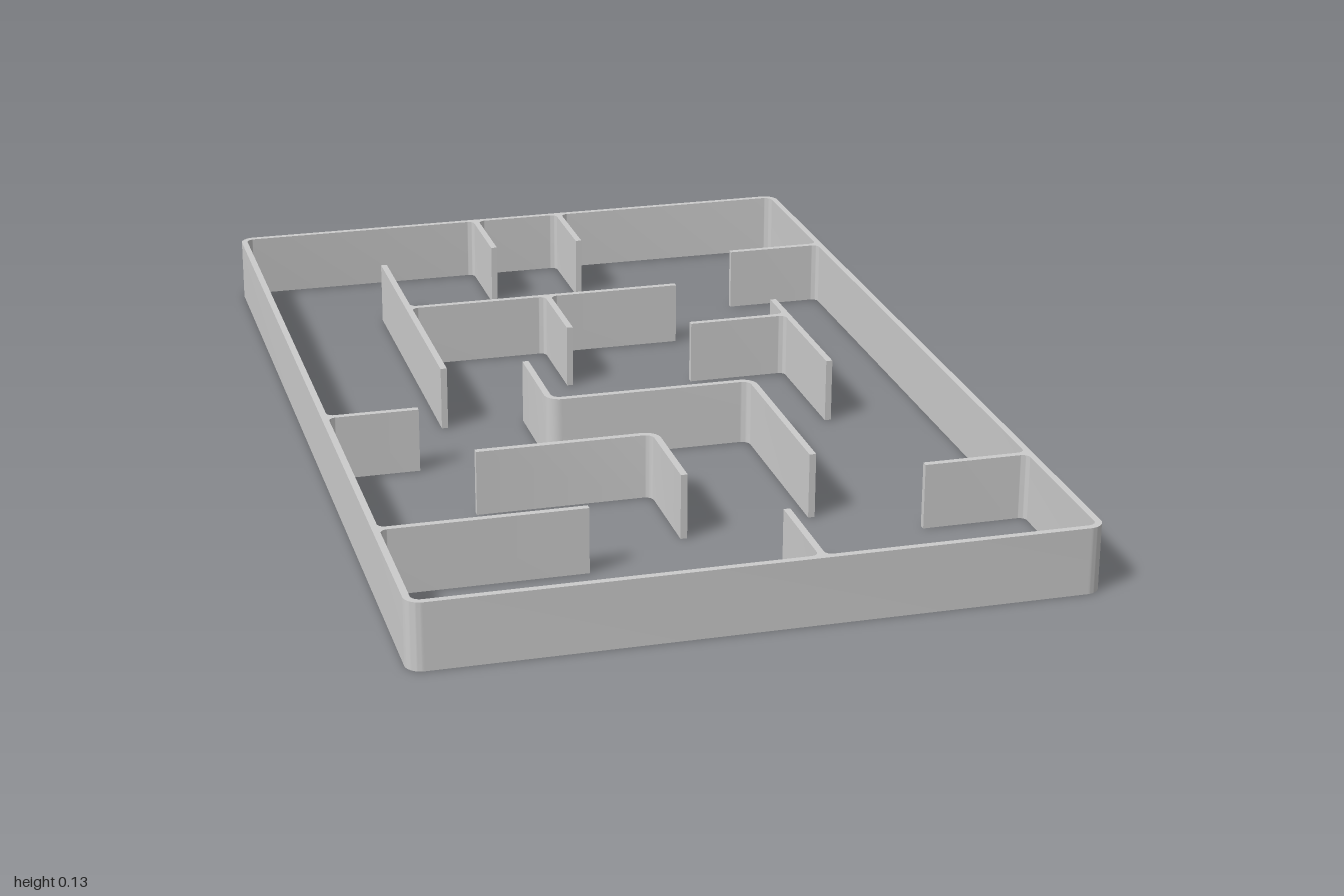
import * as THREE from 'three';
import { toCreasedNormals } from 'three/addons/utils/BufferGeometryUtils.js';

const H = 0.13;       // wall height
const T = 0.013;      // wall thickness
const W = 0.637;      // half width of the frame
const D = 1;          // half depth of the frame
const BEND = 0.024;   // centreline radius of bends
const FILLET = 0.014; // radius where walls join
const material = new THREE.MeshStandardMaterial({ color: 0xcccccc });

// Extrudes a plan drawn in (x, z) upward from the ground.
function raise(name, shape) {
  const geo = new THREE.ExtrudeGeometry(shape, { depth: H, bevelEnabled: false, curveSegments: 8 });
  geo.rotateX(Math.PI / 2).translate(0, H, 0);
  const mesh = new THREE.Mesh(toCreasedNormals(geo, 0.6), material);
  mesh.name = name;
  return mesh;
}

function roundedRect(path, w, d, r) {
  path.moveTo(w, -d + r);
  path.lineTo(w, d - r);
  path.absarc(w - r, d - r, r, 0, Math.PI / 2);
  path.absarc(-w + r, d - r, r, Math.PI / 2, Math.PI);
  path.absarc(-w + r, -d + r, r, Math.PI, Math.PI * 1.5);
  path.absarc(w - r, -d + r, r, Math.PI * 1.5, Math.PI * 2);
  return path;
}

// Free-standing wall along a polyline with rounded right-angle bends.
function wall(name, coords) {
  const pts = coords.map(([x, z]) => new THREE.Vector2(x, z));
  const left = [], right = [];
  const add = (p, dir) => {
    const n = new THREE.Vector2(-dir.y, dir.x).multiplyScalar(T / 2);
    left.push(p.clone().add(n));
    right.unshift(p.clone().sub(n));
  };
  const heading = (i) => pts[i + 1].clone().sub(pts[i]).normalize();
  add(pts[0], heading(0));
  for (let i = 1; i < pts.length - 1; i++) {
    const a = heading(i - 1), b = heading(i);
    const centre = pts[i].clone().addScaledVector(a, -BEND).addScaledVector(b, BEND);
    for (let k = 0; k <= 8; k++) {
      const c = Math.cos(k * Math.PI / 16), s = Math.sin(k * Math.PI / 16);
      const p = centre.clone().addScaledVector(b, -BEND * c).addScaledVector(a, BEND * s);
      add(p, a.clone().multiplyScalar(c).addScaledVector(b, s));
    }
  }
  add(pts[pts.length - 1], heading(pts.length - 2));
  return raise(name, new THREE.Shape([...left, ...right]));
}

// Wall growing out of another wall's centreline, flared at its root.
function branch(name, [x0, z0], [x1, z1]) {
  const length = Math.hypot(x1 - x0, z1 - z0), h = T / 2, r = FILLET;
  const s = new THREE.Shape();
  s.moveTo(h, -h - r);
  s.absarc(h + r, -h - r, r, Math.PI, Math.PI / 2, true);
  s.lineTo(length, -h);
  s.lineTo(length, h);
  s.lineTo(h + r, h);
  s.absarc(h + r, h + r, r, -Math.PI / 2, -Math.PI, true);
  s.closePath();
  const mesh = raise(name, s);
  mesh.position.set(x0, 0, z0);
  mesh.rotation.y = Math.atan2(z0 - z1, x1 - x0);
  return mesh;
}

export function createModel() {
  const group = new THREE.Group();
  group.name = 'mazeWalls';

  // Outer frame
  const r = BEND + T / 2;
  const frame = roundedRect(new THREE.Shape(), W, D, r);
  frame.holes.push(roundedRect(new THREE.Path(), W - T, D - T, r - T));
  group.add(raise('outerFrame', frame));

  // Short walls attached to the frame
  const fx = W - T / 2, fz = D - T / 2;
  [
    ['backStubRight', [-0.09, -fz], [-0.09, -0.79]],
    ['backStubLeft', [0.107, -fz], [0.107, -0.79]],
    ['frontStub', [0.107, fz], [0.107, 0.78]],
    ['leftBackStub', [fx, -0.63], [0.42, -0.63]],
    ['leftFrontStub', [fx, 0.645], [0.42, 0.645]],
    ['rightMiddleStub', [-fx, 0.13], [-0.445, 0.13]],
    ['rightFrontStub', [-fx, 0.68], [-0.238, 0.68]],
  ].forEach((args) => group.add(branch(...args)));

  // Branching inner walls
  group.add(
    wall('longWall', [[-0.353, -0.735], [-0.353, -0.07]]),
    branch('longWallArm', [-0.353, -0.447], [0.24, -0.447]),
    branch('longWallSpur', [-0.048, -0.447], [-0.048, -0.24]),
    wall('sideWall', [[0.418, -0.3], [0.418, 0.085]]),
    branch('sideWallArm', [0.418, -0.203], [0.205, -0.203]),
  );

  // Bent inner walls
  group.add(
    wall('steppedWall', [[-0.183, 0.065 - 0.135], [-0.183, 0.147], [0.232, 0.147], [0.232, 0.548]]),
    wall('elbowWall', [[-0.382, 0.37], [-0.03, 0.37], [-0.03, 0.582]]),
  );
  return group;
}
